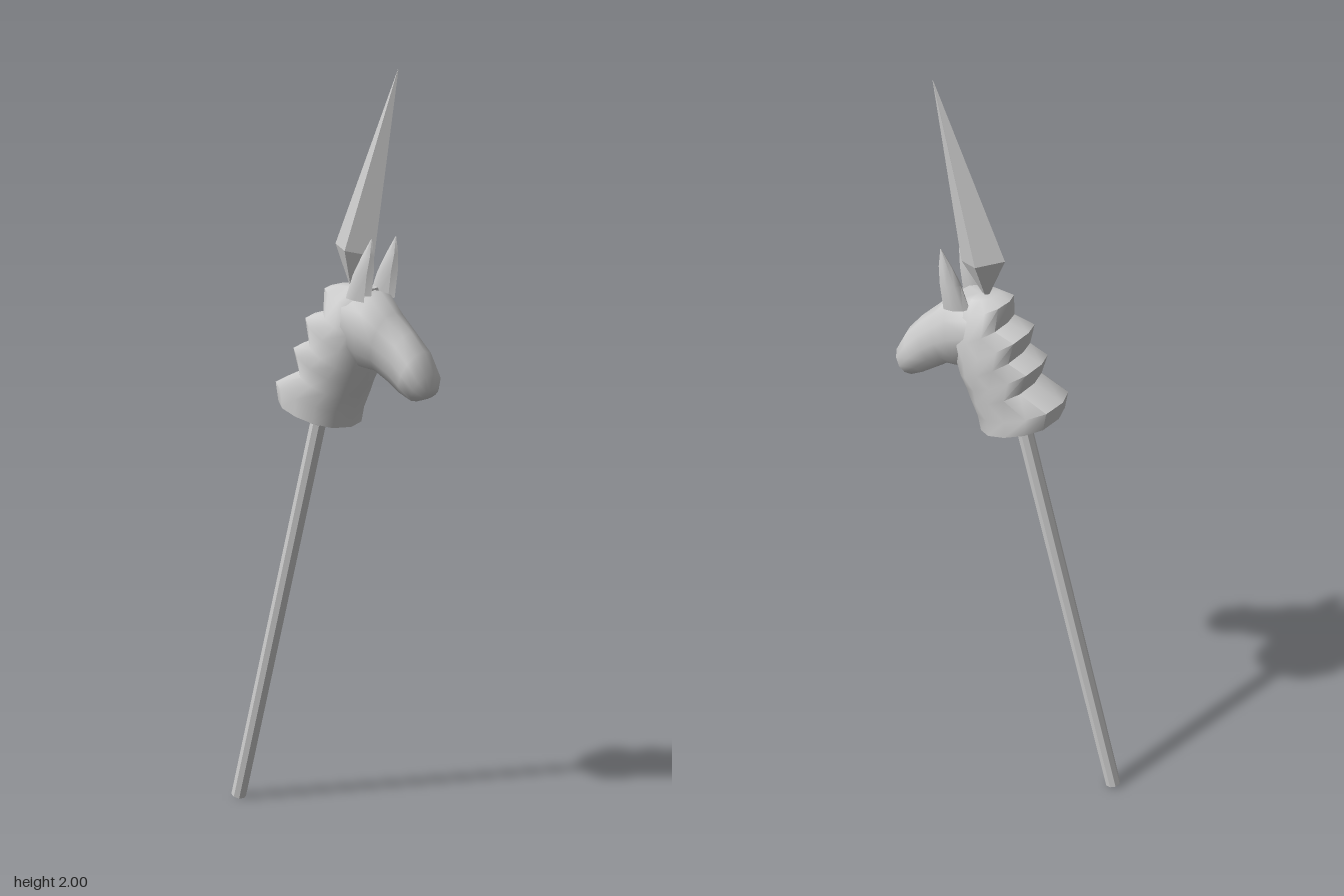
import * as THREE from 'three';
import { toCreasedNormals } from 'three/addons/utils/BufferGeometryUtils.js';

const smooth = new THREE.MeshStandardMaterial({ color: 0xcccccc });
const flat = new THREE.MeshStandardMaterial({ color: 0xcccccc, flatShading: true });

// Skins closed rings. Each ring: [z, y] of its first end, [z, y] of its opposite end, half width.
function loft(rings, sides, { cx = 0, power = 1, dent = 0, crease = 1 } = {}) {
  const pos = [], idx = [];
  for (const [z0, y0, z1, y1, w] of rings) {
    for (let i = 0; i < sides; i++) {
      const a = (i / sides) * Math.PI * 2;
      const s = Math.sin(a);
      const t = i === 0 && dent ? dent : (1 - Math.cos(a)) / 2;
      const x = Math.sign(s) * Math.pow(Math.abs(s), power) * w;
      pos.push(cx + x, y0 + (y1 - y0) * t, z0 + (z1 - z0) * t);
    }
  }
  const last = (rings.length - 1) * sides;
  for (let r = 0; r < last; r += sides) {
    for (let i = 0; i < sides; i++) {
      const j = (i + 1) % sides;
      idx.push(r + i, r + j, r + sides + j, r + i, r + sides + j, r + sides + i);
    }
  }
  // End caps
  const n = pos.length / 3;
  for (const [z0, y0, z1, y1] of [rings[0], rings[rings.length - 1]]) {
    pos.push(cx, (y0 + y1) / 2, (z0 + z1) / 2);
  }
  for (let i = 0; i < sides; i++) {
    const j = (i + 1) % sides;
    idx.push(n, j, i, n + 1, last + i, last + j);
  }
  const g = new THREE.BufferGeometry();
  g.setAttribute('position', new THREE.Float32BufferAttribute(pos, 3));
  g.setIndex(idx);
  return toCreasedNormals(g, crease);
}

// Cylinder between two points
function rod(from, to, r0, r1, sides) {
  const dir = to.clone().sub(from);
  const g = new THREE.CylinderGeometry(r1, r0, dir.length(), sides);
  g.applyQuaternion(new THREE.Quaternion().setFromUnitVectors(
    new THREE.Vector3(0, 1, 0), dir.clone().normalize()));
  const c = from.clone().add(to).multiplyScalar(0.5);
  return g.translate(c.x, c.y, c.z);
}

export function createModel() {
  const model = new THREE.Group();
  const add = (name, geometry, material = smooth) => {
    const mesh = new THREE.Mesh(geometry, material);
    mesh.name = name;
    model.add(mesh);
  };

  // Slanted pole and the collar where it enters the neck
  const foot = new THREE.Vector3(0, 0.006, -0.313);
  const socket = new THREE.Vector3(0, 1.16, -0.012);
  add('pole', rod(foot, socket, 0.021, 0.021, 8), flat);
  add('collar', rod(new THREE.Vector3(0, 1.103, -0.027), socket, 0.036, 0.055, 8), flat);

  // Neck, with the stepped mane down its back
  add('neck', loft([
    [0.08, 1.1, -0.125, 1.16, 0.103],
    [0.09, 1.14, -0.135, 1.21, 0.103],
    [0.105, 1.18, -0.055, 1.245, 0.1],
    [0.12, 1.21, -0.075, 1.305, 0.1],
    [0.135, 1.245, -0.022, 1.325, 0.1],
    [0.15, 1.28, -0.038, 1.385, 0.095],
    [0.16, 1.33, 0.02, 1.4, 0.088],
    [0.165, 1.4, 0.015, 1.46, 0.07],
    [0.15, 1.46, 0.05, 1.468, 0.042],
  ], 12, { power: 0.75 }));

  // Head, from the poll to the muzzle
  add('head', loft([
    [0.08, 1.29, 0.09, 1.46, 0.08],
    [0.135, 1.255, 0.17, 1.455, 0.086],
    [0.175, 1.252, 0.215, 1.405, 0.073],
    [0.215, 1.225, 0.265, 1.36, 0.058],
    [0.25, 1.203, 0.305, 1.315, 0.062],
    [0.285, 1.188, 0.333, 1.262, 0.056],
    [0.315, 1.197, 0.336, 1.225, 0.03],
  ], 12, { power: 0.9 }));

  // Ears, hollow at the front
  for (const side of [1, -1]) {
    add(side > 0 ? 'leftEar' : 'rightEar', loft([
      [0.178, 1.43, 0.1, 1.44, 0.02],
      [0.184, 1.5, 0.125, 1.5, 0.021],
      [0.186, 1.545, 0.15, 1.545, 0.012],
      [0.18, 1.588, 0.178, 1.588, 0.001],
    ], 8, { cx: side * 0.051, dent: 0.55 }));
  }

  // Four-sided horn with an inverted pyramid below
  add('horn', loft([
    [0.083, 1.455, 0.077, 1.455, 0.003],
    [0.15, 1.54, 0.028, 1.566, 0.042],
    [0.22, 1.996, 0.218, 1.996, 0.0008],
  ], 4, { crease: 0.3 }), flat);

  return model;
}
